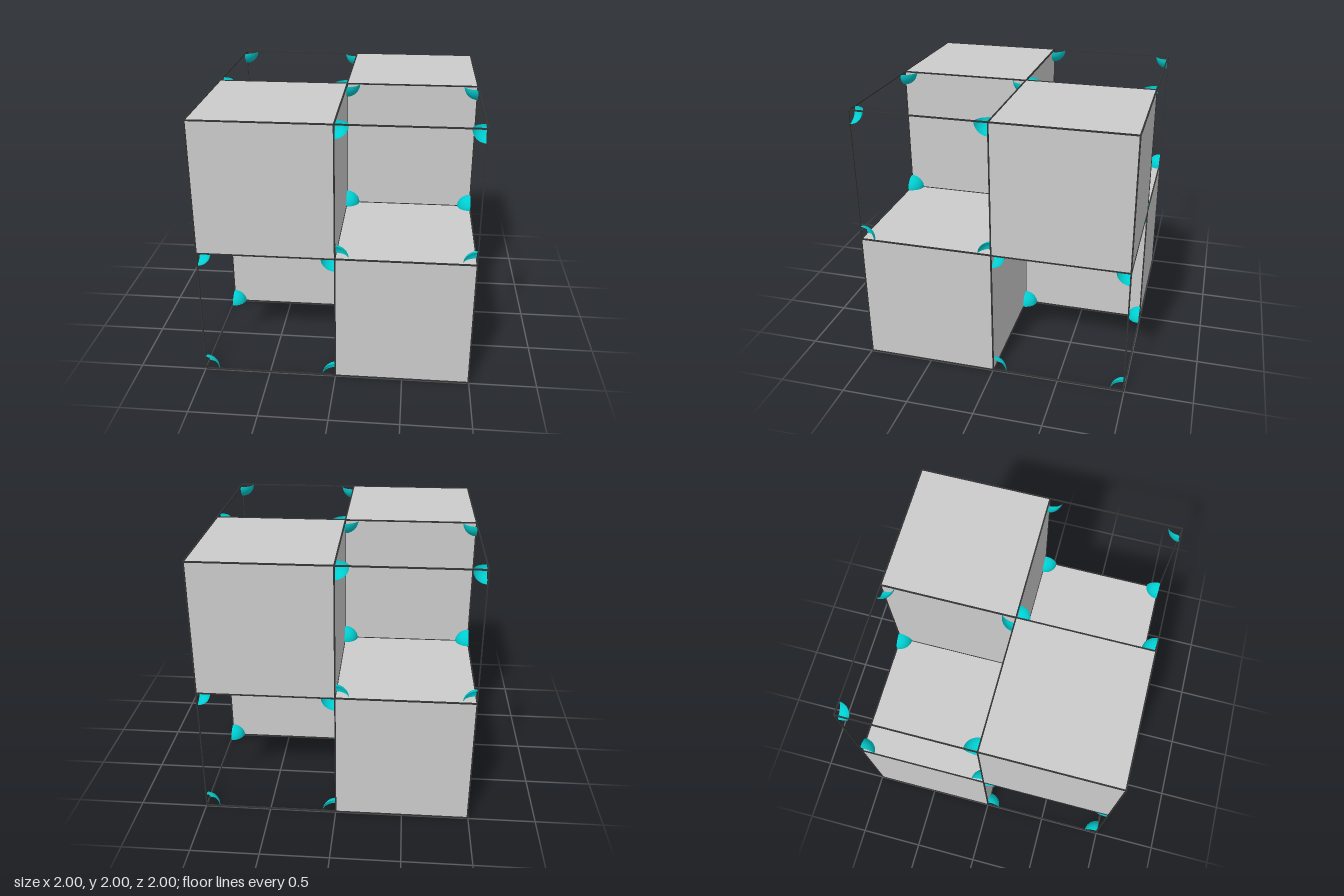
import * as THREE from 'three';

const HALF = 0.995; // lattice spacing
const ROD = 0.01; // edge rod width
const KNOB = 0.1; // corner shell radius

function material(name, color, side = THREE.FrontSide) {
  const m = new THREE.MeshStandardMaterial({ color, side });
  m.name = name;
  return m;
}

// Open eighth of a sphere that fills the octant with the given signs
function octantShell(sx, sy, sz) {
  const quarter = sz > 0 ? (sx < 0 ? 0 : 1) : (sx > 0 ? 2 : 3);
  return new THREE.SphereGeometry(KNOB, 12, 12,
    quarter * Math.PI / 2, Math.PI / 2, sy > 0 ? 0 : Math.PI / 2, Math.PI / 2);
}

export function createModel() {
  const model = new THREE.Group();
  model.name = 'checkeredCubeLattice';
  const grey = material('cubeGrey', 0xcccccc);
  const teal = material('cornerTeal', 0x00ced1, THREE.DoubleSide);
  const dark = material('edgeDarkGrey', 0x333333);

  const add = (parent, name, geometry, mat, x, y, z) => {
    const mesh = new THREE.Mesh(geometry, mat);
    mesh.name = name;
    mesh.position.set(x, y, z);
    parent.add(mesh);
    return mesh;
  };

  // Alternate cells are solid cubes; the others hold a shell in every corner
  const cube = new THREE.BoxGeometry(HALF, HALF, HALF);
  const signs = [-1, 1];
  for (const cx of signs) for (const cy of signs) for (const cz of signs) {
    const x = cx * HALF / 2, y = 1 + cy * HALF / 2, z = cz * HALF / 2;
    if (cx * cy * cz < 0) {
      add(model, 'solidCube', cube, grey, x, y, z);
      continue;
    }
    const cell = new THREE.Group();
    cell.name = 'openCell';
    cell.position.set(x, y, z);
    model.add(cell);
    for (const sx of signs) for (const sy of signs) for (const sz of signs) {
      add(cell, 'cornerShell', octantShell(-sx, -sy, -sz), teal,
        sx * HALF / 2, sy * HALF / 2, sz * HALF / 2);
    }
  }

  // Thin square rods along every lattice line, in all three directions
  const rod = new THREE.BoxGeometry(ROD, 2, ROD);
  for (let i = -1; i <= 1; i++) for (let j = -1; j <= 1; j++) {
    const a = i * HALF, b = j * HALF;
    add(model, 'uprightEdge', rod, dark, a, 1, b);
    add(model, 'sidewaysEdge', rod, dark, 0, 1 + a, b).rotation.z = Math.PI / 2;
    add(model, 'depthEdge', rod, dark, a, 1 + b, 0).rotation.x = Math.PI / 2;
  }
  return model;
}
